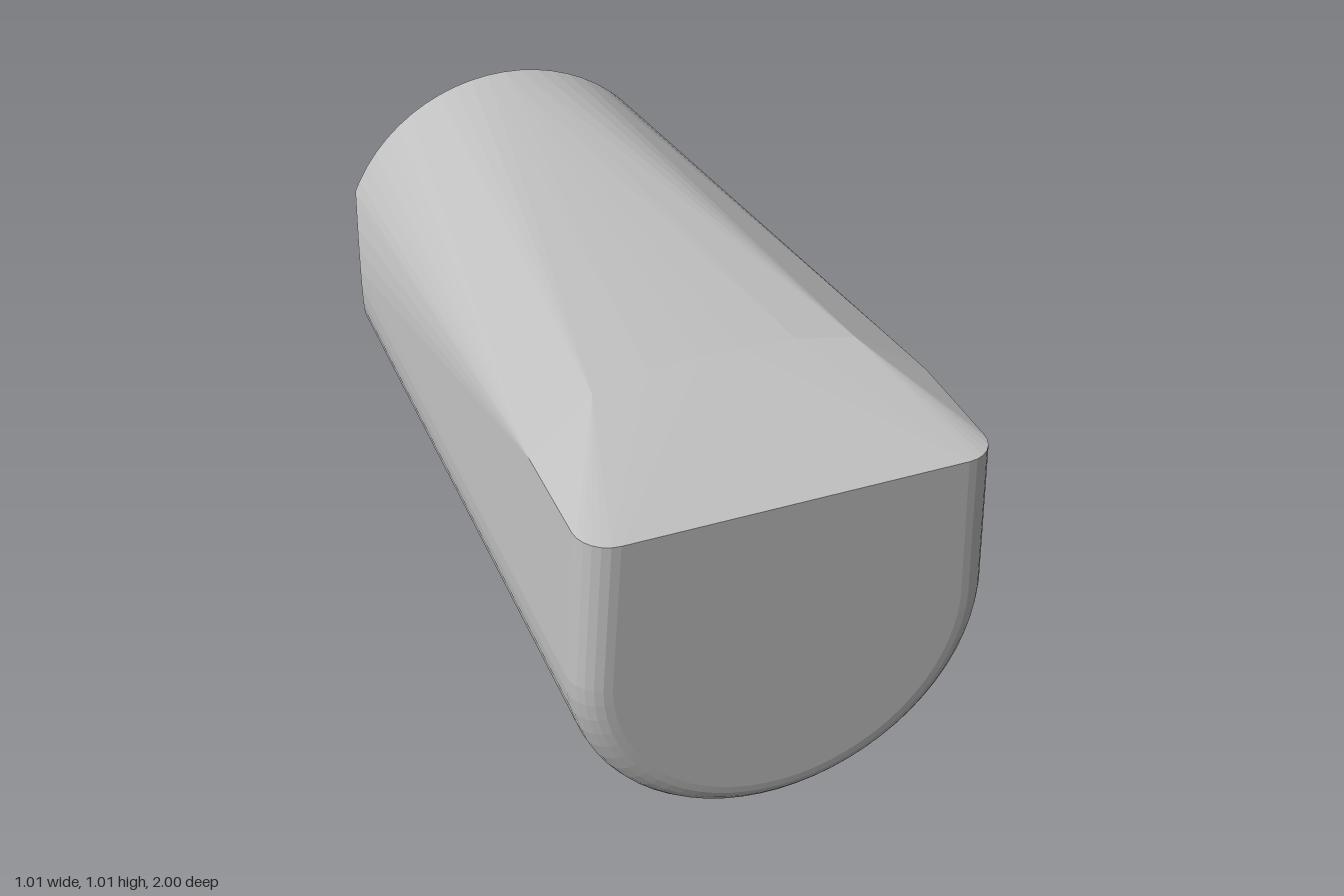
import * as THREE from 'three';
import { ConvexGeometry } from 'three/addons/geometries/ConvexGeometry.js';

const R = 0.505;      // radius of the round body
const SEGMENTS = 64;  // sides of the full circle
const FILLET = 0.08;  // rounding of the front edge

const grey = new THREE.MeshStandardMaterial({ color: 0xc0c0c0 });
grey.name = 'grey';

// Round rear end, with both sides bevelled towards the back
function rearPoints() {
  const points = [];
  for (let i = 0; i < SEGMENTS; i++) {
    const a = (i / SEGMENTS) * Math.PI * 2;
    const x = R * Math.cos(a), y = R + R * Math.sin(a);
    const z = -0.82 - (R - Math.abs(x)) * 4;
    if (z > -1) points.push(new THREE.Vector3(x, y, z));
    if (Math.abs(x) < 0.46) points.push(new THREE.Vector3(x, y, -1));
  }
  // Corners where the bevels meet the back face
  const h = Math.sqrt(R * R - 0.46 * 0.46);
  for (const sx of [-1, 1]) for (const sy of [-1, 1]) {
    points.push(new THREE.Vector3(sx * 0.46, R + sy * h, -1));
  }
  return points;
}

// U-shaped section, moved inwards by inset
function frontSection(inset, z) {
  const points = [];
  const r = R - inset;
  for (let i = 0; i <= SEGMENTS / 2; i++) {
    const a = Math.PI + (i / (SEGMENTS / 2)) * Math.PI;
    points.push(new THREE.Vector3(r * Math.cos(a), R + r * Math.sin(a), z));
  }
  for (const s of [-1, 1]) points.push(new THREE.Vector3(s * (0.484 - inset), 0.897, z));
  return points;
}

export function createModel() {
  const group = new THREE.Group();
  group.name = 'roundedBlock';
  const points = rearPoints();

  // Rounded front edge
  const steps = 6;
  for (let i = 0; i <= steps; i++) {
    const a = (i / steps) * Math.PI / 2;
    points.push(...frontSection(FILLET * (1 - Math.cos(a)), 1 - FILLET + FILLET * Math.sin(a)));
  }

  // Shoulders and the crest behind the sloping top
  for (const s of [-1, 1]) {
    points.push(
      new THREE.Vector3(s * 0.485, 0.9, 0.65),
      new THREE.Vector3(s * 0.32, 0.997, 0.6),
      new THREE.Vector3(s * 0.18, 1.01, 0.575),
      new THREE.Vector3(s * 0.05, 1.013, 0.572)
    );
  }

  const body = new THREE.Mesh(new ConvexGeometry(points), grey);
  body.name = 'body';
  group.add(body);
  return group;
}
